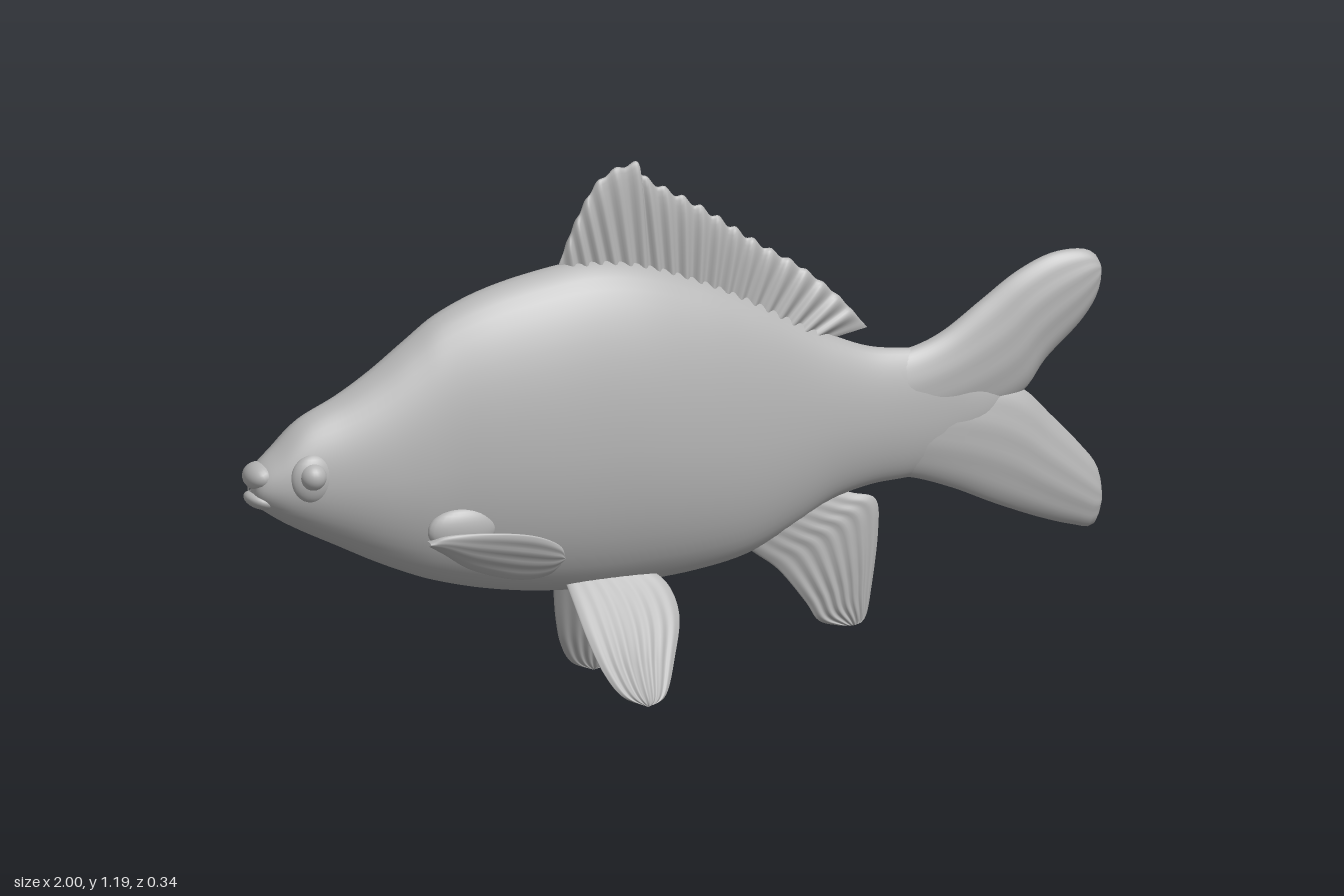
import * as THREE from 'three';

const V = (x, y, z = 0) => new THREE.Vector3(x, y, z);
const curve = (pts) => new THREE.CatmullRomCurve3(pts.map((p) => V(...p)), false, 'catmullrom', 0.5);

// Skin a list of equal-length closed rings; faces are turned outward by signed volume.
function loft(rings) {
  const n = rings[0].length, idx = [], pts = rings.flat();
  const quad = (a, b, c, d) => idx.push(a, b, c, a, c, d);
  for (let i = 0; i < rings.length - 1; i++) {
    for (let j = 0; j < n; j++) {
      const k = (j + 1) % n;
      quad(i * n + j, i * n + k, (i + 1) * n + k, (i + 1) * n + j);
    }
  }
  let vol = 0;
  const t = V(0, 0);
  for (let i = 0; i < idx.length; i += 3) {
    vol += pts[idx[i]].dot(t.crossVectors(pts[idx[i + 1]], pts[idx[i + 2]]));
  }
  if (vol < 0) idx.reverse();
  const g = new THREE.BufferGeometry().setFromPoints(pts);
  g.setIndex(idx);
  g.computeVertexNormals();
  return g;
}

// Fin stretched between two edge curves, with thickness(u, v) and a sideways offset(x, y).
function finGeometry(edgeA, edgeB, thickness, offset = () => 0, nu = 40, nv = 28, ragged = 0) {
  const A = curve(edgeA), B = curve(edgeB), rings = [];
  for (let i = 0; i <= nu; i++) {
    const u = i / nu, a = A.getPointAt(u), b = B.getPointAt(u), ring = [];
    b.y += ragged * Math.sin(u * Math.PI) * Math.cos(u * Math.PI * 40);
    for (let j = 0; j < 2 * nv; j++) {
      const v = (1 - Math.cos((Math.PI * j) / nv)) / 2;
      const p = a.clone().lerp(b, v);
      const side = j <= nv ? 1 : -1;
      p.z = offset(p.x, p.y) + side * Math.max(0, thickness(u, v));
      ring.push(p);
    }
    rings.push(ring);
  }
  return loft(rings);
}

// Lens-shaped thickness with rays running from root to tip
const lens = (t, rays = 0, depth = 0) => (u, v) =>
  t * Math.sqrt(Math.max(0, Math.sin(Math.PI * v))) * Math.sqrt(Math.max(0, 1 - u ** 5)) *
  (1 - depth * Math.min(1, u * 1.6) * (0.5 + 0.5 * Math.cos(v * Math.PI * 2 * rays)));

export function createModel() {
  const group = new THREE.Group();
  const skin = new THREE.MeshStandardMaterial({ color: 0xb4b4b4 });
  skin.name = 'grey skin';
  const add = (name, geometry) => {
    const m = new THREE.Mesh(geometry, skin);
    m.name = name;
    group.add(m);
    return m;
  };
  const blob = (name, pos, scale) => {
    const m = add(name, new THREE.SphereGeometry(1, 24, 16));
    m.position.set(...pos);
    m.scale.set(...scale);
    return m;
  };

  // Body stations: x, belly height, back height, half width
  const stations = [
    [-0.985, 0.535, 0.545, 0.004], [-0.975, 0.505, 0.585, 0.038], [-0.93, 0.47, 0.63, 0.062],
    [-0.87, 0.435, 0.685, 0.076], [-0.78, 0.39, 0.73, 0.092], [-0.7, 0.35, 0.78, 0.104],
    [-0.62, 0.315, 0.84, 0.112], [-0.55, 0.29, 0.89, 0.118], [-0.45, 0.265, 0.933, 0.132],
    [-0.33, 0.247, 0.963, 0.142], [-0.2, 0.24, 0.98, 0.143], [-0.08, 0.245, 0.965, 0.138],
    [0.05, 0.257, 0.92, 0.12], [0.17, 0.282, 0.865, 0.096], [0.28, 0.335, 0.805, 0.074],
    [0.37, 0.385, 0.757, 0.062], [0.46, 0.41, 0.722, 0.053], [0.55, 0.418, 0.71, 0.047],
    [0.63, 0.43, 0.705, 0.042], [0.72, 0.49, 0.66, 0.036], [0.82, 0.575, 0.6, 0.004],
  ];
  const heights = curve(stations.map(([x, b, t]) => [x, b, t]));
  const widths = curve(stations.map(([x, , , w]) => [x, w, 0]));
  const rings = [];
  for (let i = 0; i <= 100; i++) {
    const h = heights.getPoint(i / 100), w = widths.getPoint(i / 100).y, ring = [];
    const mid = h.y + (h.z - h.y) * 0.46;
    for (let j = 0; j < 48; j++) {
      const a = (j / 48) * Math.PI * 2, s = Math.sin(a), c = Math.cos(a);
      ring.push(V(h.x, mid + s * (s > 0 ? h.z - mid : mid - h.y),
        w * Math.sign(c) * Math.abs(c) ** 1.12));
    }
    rings.push(ring);
  }
  add('body', loft(rings));

  // Lips
  blob('upperLip', [-0.966, 0.567, 0], [0.034, 0.03, 0.046]).rotation.z = 0.4;
  blob('lowerLip', [-0.962, 0.512, 0], [0.036, 0.02, 0.042]).rotation.z = -0.3;

  // Tail lobes
  add('upperTailLobe', finGeometry(
    [[0.46, 0.7], [0.55, 0.708], [0.63, 0.738], [0.72, 0.8], [0.8, 0.855], [0.88, 0.89], [0.95, 0.895], [0.985, 0.88], [1, 0.85]],
    [[0.46, 0.5], [0.6, 0.52], [0.74, 0.55], [0.82, 0.59], [0.87, 0.655], [0.95, 0.73], [0.99, 0.79], [1, 0.85]],
    lens(0.042, 4, 0.06)));
  add('lowerTailLobe', finGeometry(
    [[0.46, 0.425], [0.55, 0.418], [0.65, 0.385], [0.75, 0.34], [0.85, 0.3], [0.93, 0.275], [0.98, 0.27], [1, 0.33]],
    [[0.46, 0.64], [0.6, 0.64], [0.74, 0.625], [0.82, 0.59], [0.88, 0.53], [0.95, 0.455], [0.99, 0.4], [1, 0.33]],
    lens(0.042, 4, 0.06)));

  // Dorsal fin with raked rays and a ragged edge
  add('dorsalFin', finGeometry(
    [[-0.27, 0.95], [-0.18, 0.95], [-0.05, 0.93], [0.08, 0.88], [0.2, 0.82], [0.3, 0.77], [0.36, 0.745]],
    [[-0.265, 0.975], [-0.22, 1.08], [-0.166, 1.16], [-0.085, 1.187], [-0.06, 1.15], [0.064, 1.075], [0.2, 0.98], [0.295, 0.92], [0.385, 0.845], [0.455, 0.765]],
    (u, v) => 0.024 * (1 - 0.25 * v) * Math.sqrt(Math.max(0, 1 - v ** 6)) *
      Math.min(1, Math.sin(Math.PI * u) * 5) * (0.72 + 0.28 * Math.cos(u * Math.PI * 40)),
    undefined, 160, 14, 0.006));

  // Anal fin
  add('analFin', finGeometry(
    [[0.15, 0.31], [0.2, 0.275], [0.25, 0.235], [0.31, 0.16], [0.34, 0.115], [0.38, 0.1], [0.42, 0.095]],
    [[0.34, 0.42], [0.42, 0.395], [0.475, 0.375], [0.48, 0.3], [0.465, 0.18], [0.45, 0.11], [0.42, 0.095]],
    lens(0.022, 7, 0.45), undefined, 40, 56));

  // Paired parts: s = 1 on the +z flank, -1 on the -z flank
  for (const [s, label] of [[1, 'near'], [-1, 'far']]) {
    blob(label + 'Eye', [-0.867, 0.573, s * 0.076], [0.03, 0.03, 0.03]);
    blob(label + 'EyeSocket', [-0.862, 0.565, s * 0.062], [0.052, 0.055, 0.026]);
    blob(label + 'PectoralBase', [-0.53, 0.43, s * 0.104], [0.08, 0.05, 0.026]);
    add(label + 'PectoralFin', finGeometry(
      [[-0.61, 0.41], [-0.57, 0.424], [-0.47, 0.425], [-0.38, 0.413], [-0.32, 0.385], [-0.3, 0.35]],
      [[-0.61, 0.4], [-0.57, 0.375], [-0.5, 0.33], [-0.4, 0.3], [-0.33, 0.308], [-0.3, 0.35]],
      lens(0.017, 4, 0.2),
      (x, y) => s * (0.112 + (x + 0.6) * 0.19 - (0.41 - y) * 0.55)));
    add(label + 'PelvicFin', finGeometry(
      [[-0.27, 0.29], [-0.255, 0.23], [-0.235, 0.15], [-0.21, 0.08], [-0.175, 0.03], [-0.12, 0.005]],
      [[-0.08, 0.29], [-0.03, 0.245], [-0.015, 0.18], [-0.04, 0.1], [-0.075, 0.025], [-0.12, 0.005]],
      lens(0.015, 7, 0.4),
      (x, y) => s * (0.04 + (0.27 - y) * 0.48), 40, 56));
  }
  return group;
}
